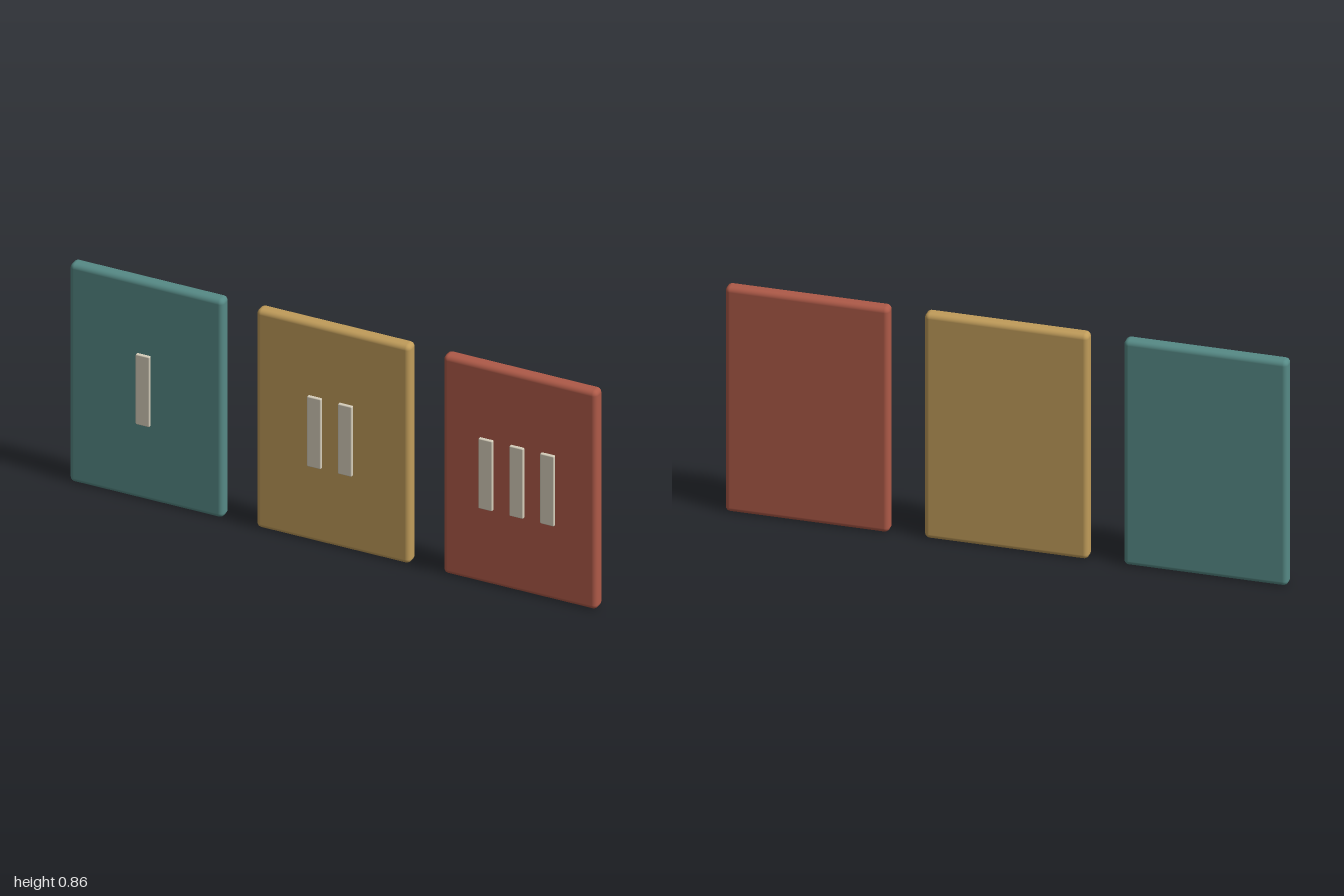
import * as THREE from 'three';
import { RoundedBoxGeometry } from 'three/addons/geometries/RoundedBoxGeometry.js';

const material = (name, color) => {
  const m = new THREE.MeshStandardMaterial({ color });
  m.name = name;
  return m;
};

export function createModel() {
  const model = new THREE.Group();
  model.name = 'countingPanels';

  const ivory = material('ivory', 0xd6cebb);
  const panelColours = [
    material('teal', 0x568a86),
    material('gold', 0xc09c5a),
    material('brickRed', 0xae5a48),
  ];

  const width = 0.583, height = 0.862, depth = 0.053;
  const panelGeometry = new RoundedBoxGeometry(width, height, depth, 4, 0.018);
  const barGeometry = new RoundedBoxGeometry(0.053, 0.277, 0.014, 3, 0.004);
  const panelSpacing = 0.7085, barSpacing = 0.117;

  panelColours.forEach((colour, i) => {
    const tile = new THREE.Group();
    tile.name = `${colour.name}Tile`;
    tile.position.set((i - 1) * panelSpacing, 0, 0);

    // Rounded upright slab
    const panel = new THREE.Mesh(panelGeometry, colour);
    panel.name = 'panel';
    panel.position.set(0, height / 2, -0.0135);
    tile.add(panel);

    // Row of one, two or three tally bars floating just ahead of the slab
    const count = i + 1;
    for (let k = 0; k < count; k++) {
      const bar = new THREE.Mesh(barGeometry, ivory);
      bar.name = `tallyBar${k + 1}`;
      bar.position.set((k - (count - 1) / 2) * barSpacing, 0.448, 0.033);
      tile.add(bar);
    }
    model.add(tile);
  });

  return model;
}
